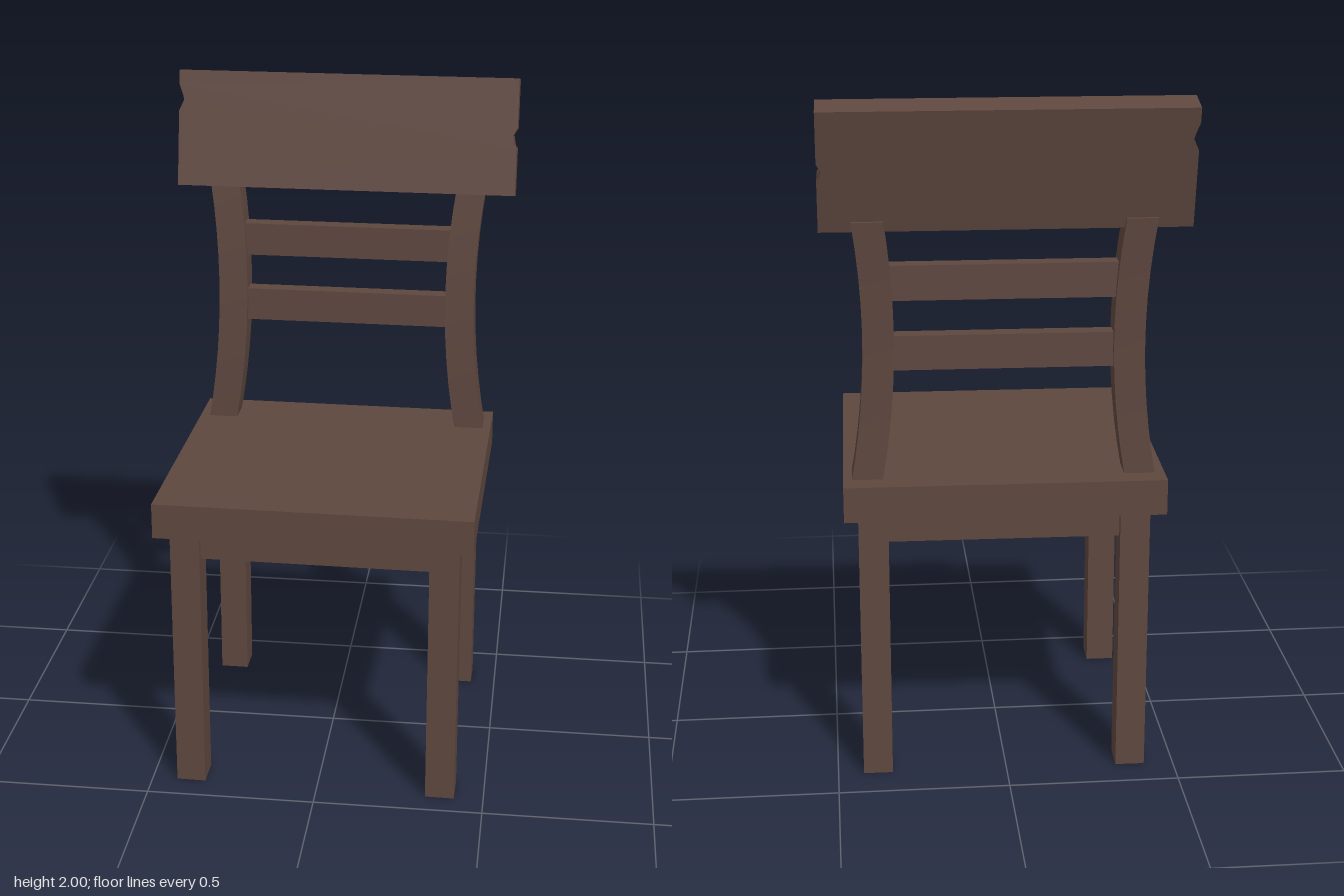
import * as THREE from 'three';

export function createModel() {
  const model = new THREE.Group();
  model.name = 'chair';
  const chair = new THREE.Group();
  chair.name = 'chairFrame';
  chair.rotation.y = -0.0145; // stands slightly turned
  model.add(chair);

  const wood = new THREE.MeshStandardMaterial({ color: 0x5e473f });
  wood.name = 'dark brown wood';

  const add = (name, geometry, x = 0, y = 0, z = 0) => {
    const mesh = new THREE.Mesh(geometry, wood);
    mesh.name = name;
    mesh.position.set(x, y, z);
    chair.add(mesh);
    return mesh;
  };
  const box = (name, w, h, d, x, y, z) => add(name, new THREE.BoxGeometry(w, h, d), x, y, z);

  // Seat slab
  box('seat', 0.922, 0.105, 0.876, -0.002, 0.8625, 0.015);

  // Legs and the rails between them
  const frontZ = 0.378, backZ = -0.349, legX = 0.376;
  for (const [side, s] of [['left', 1], ['right', -1]]) {
    box(side + 'FrontLeg', 0.086, 0.82, 0.092, s * legX, 0.41, frontZ);
    box(side + 'BackLeg', 0.086, 0.82, 0.092, s * legX, 0.41, backZ);
    box(side + 'Apron', 0.05, 0.09, frontZ - backZ, s * legX, 0.775, (frontZ + backZ) / 2);
  }
  box('frontApron', legX * 2, 0.09, 0.05, 0, 0.775, frontZ);
  box('backApron', legX * 2, 0.09, 0.05, 0, 0.775, backZ);

  // Back posts: bowed inwards and curving backwards
  const postX = (y) => 0.352 + 0.22 * (y - 1.33) ** 2;
  const postZ = (y) => -0.315 - 0.085 * Math.max(0, y - 1) ** 2;
  for (const [side, s] of [['left', 1], ['right', -1]]) {
    const g = new THREE.BoxGeometry(0.088, 0.77, 0.086, 1, 10, 1);
    g.translate(0, 1.285, 0);
    const p = g.attributes.position;
    for (let i = 0; i < p.count; i++) {
      const y = p.getY(i);
      p.setX(i, p.getX(i) + s * postX(y));
      p.setZ(i, p.getZ(i) + postZ(y));
    }
    g.computeVertexNormals();
    add(side + 'BackPost', g);
  }

  // Two cross slats
  box('lowerSlat', 0.69, 0.1, 0.05, 0, 1.285, postZ(1.285));
  box('upperSlat', 0.69, 0.1, 0.05, 0, 1.49, postZ(1.49));

  // Leaning top board with a chipped notch in each end
  const outline = [
    [-0.52, 0], [0.51, 0], [0.51, 0.14], [0.503, 0.152], [0.498, 0.18], [0.51, 0.2],
    [0.51, 0.348], [-0.52, 0.348], [-0.52, 0.305], [-0.508, 0.272], [-0.505, 0.258], [-0.52, 0.225],
  ];
  const shape = new THREE.Shape(outline.map(([x, y]) => new THREE.Vector2(x, y)));
  const board = new THREE.ExtrudeGeometry(shape, { depth: 0.092, bevelEnabled: false });
  board.translate(0, 0, -0.092);
  add('topBoard', board, 0, 1.66, -0.288).rotation.x = -0.214;

  return model;
}
